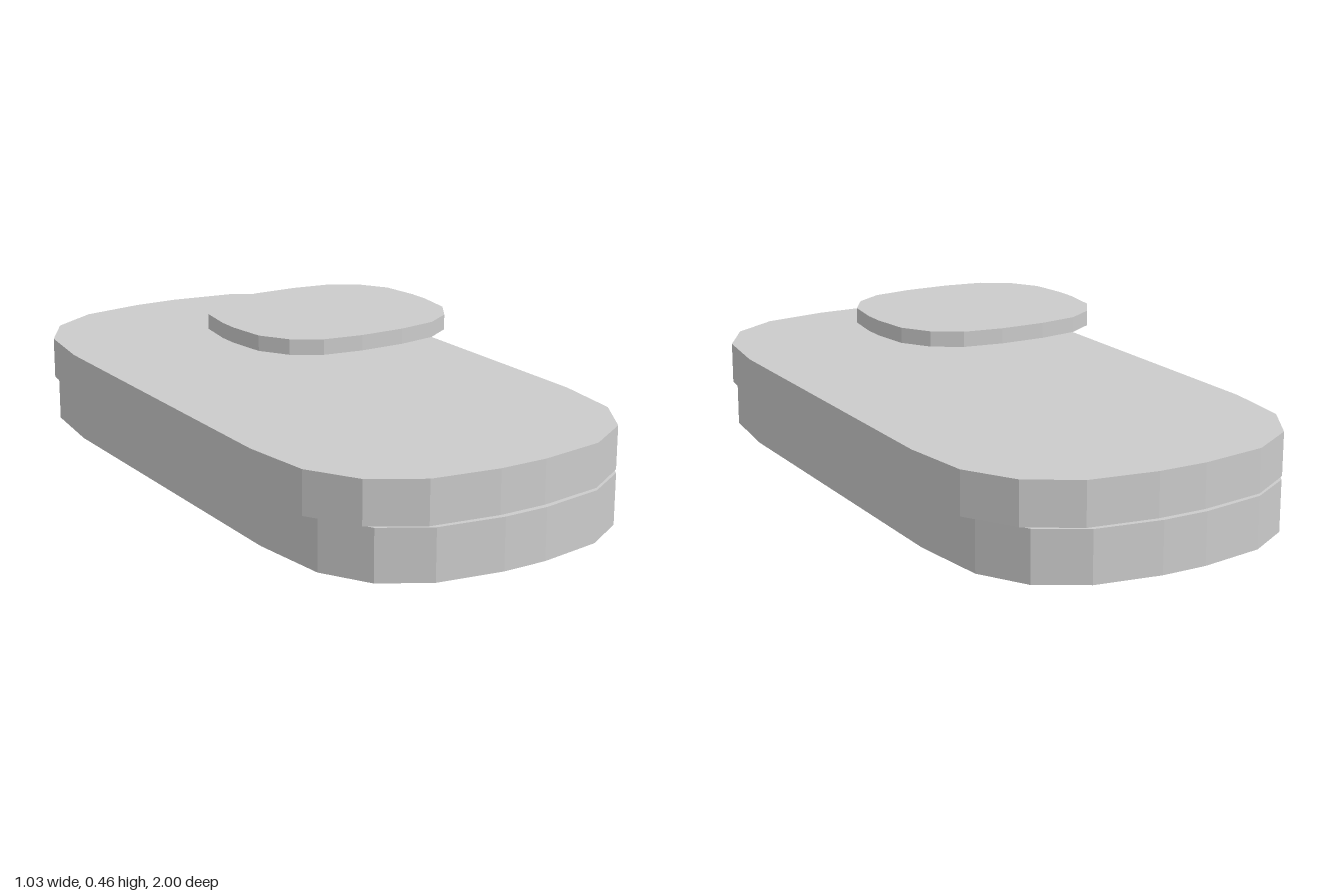
import * as THREE from 'three';

// Mirrors a quarter outline of [x, z] points into a full closed loop.
function fullOutline(quarter) {
  const back = [...quarter].reverse();
  return [
    ...quarter,
    ...back.map(([x, z]) => [-x, z]),
    ...quarter.map(([x, z]) => [-x, -z]),
    ...back.map(([x, z]) => [x, -z]),
  ];
}

// Hollow slab: a wall around the outline and a cap on top, open underneath.
function makeShell(name, quarter, y0, y1, zCentre = 0) {
  const loop = fullOutline(quarter);
  const pos = [];
  loop.forEach(([ax, az], i) => {
    const [bx, bz] = loop[(i + 1) % loop.length];
    // wall panel
    pos.push(ax, y0, az, bx, y1, bz, bx, y0, bz);
    pos.push(ax, y0, az, ax, y1, az, bx, y1, bz);
    // cap wedge
    pos.push(0, y1, 0, bx, y1, bz, ax, y1, az);
  });
  const geometry = new THREE.BufferGeometry();
  geometry.setAttribute('position', new THREE.Float32BufferAttribute(pos, 3));
  geometry.computeVertexNormals();
  const material = new THREE.MeshStandardMaterial({
    color: 0xcccccc, flatShading: true, side: THREE.DoubleSide,
  });
  const mesh = new THREE.Mesh(geometry, material);
  mesh.name = name;
  mesh.position.z = zCentre;
  return mesh;
}

export function createModel() {
  const group = new THREE.Group();
  group.name = 'layeredPad';

  // Quarter outlines run from the end (+z) round to the side (+x), so the
  // mirrored loop must be walked from the side: list side first.
  const base = [[0.49, 0.53], [0.462, 0.76], [0.383, 0.893], [0.252, 0.97], [0.065, 1.0]];
  const body = [[0.515, 0.525], [0.488, 0.73], [0.403, 0.87], [0.263, 0.955], [0.07, 0.984]];
  const button = [[0.32, 0.03], [0.305, 0.14], [0.255, 0.218], [0.177, 0.267], [0.065, 0.284]];

  group.add(makeShell('lowerBase', base, 0, 0.145));
  group.add(makeShell('upperBody', body, 0.145, 0.267));
  group.add(makeShell('floatingButton', button, 0.42, 0.463, 0.072));
  return group;
}
